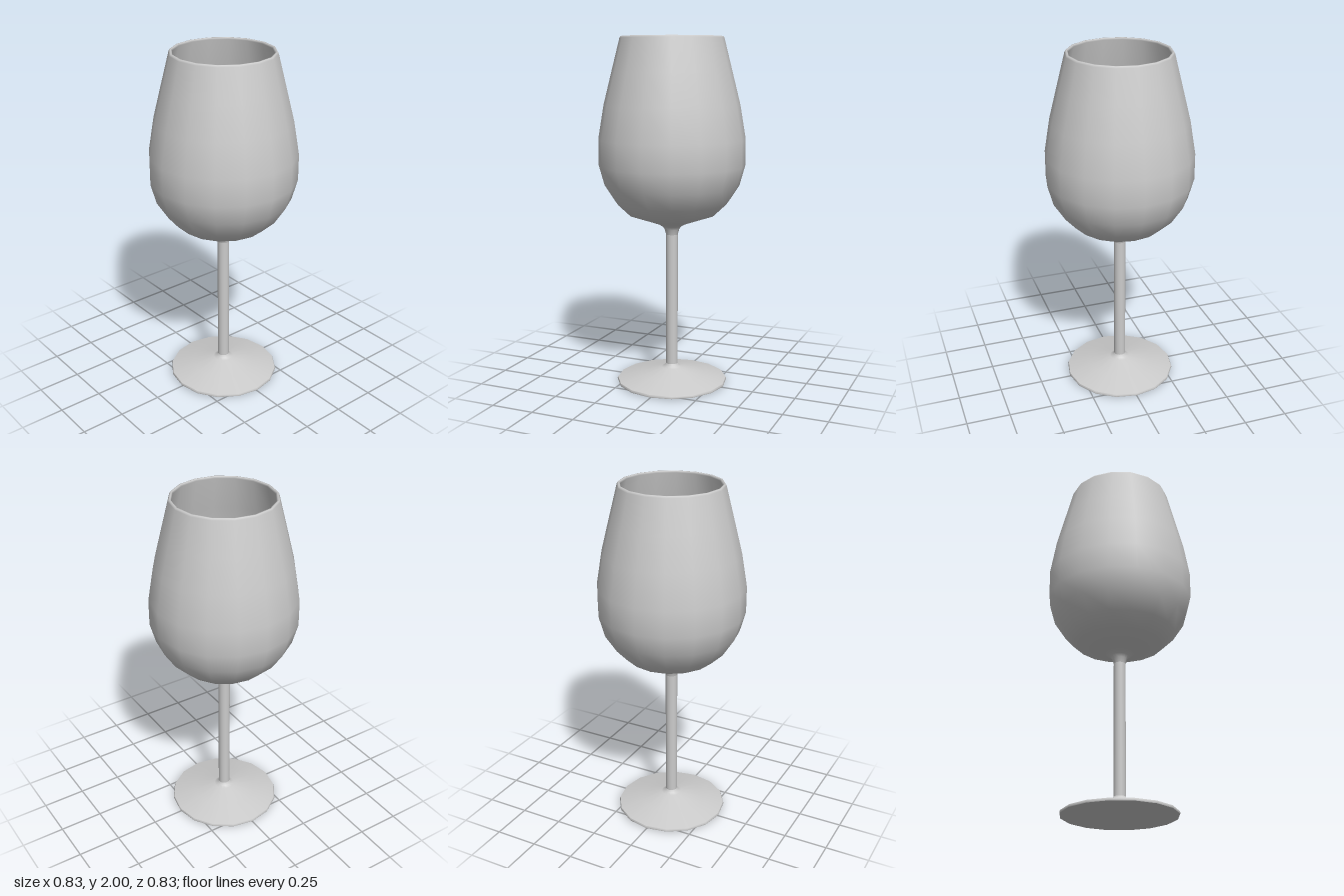
import * as THREE from 'three';

const SIDES = 16;
const material = new THREE.MeshStandardMaterial({ color: 0xcccccc });

// Revolves a profile of [radius, height] pairs around the vertical axis
function turned(name, profile) {
  const points = profile.map(([r, y]) => new THREE.Vector2(r, y));
  const mesh = new THREE.Mesh(new THREE.LatheGeometry(points, SIDES), material);
  mesh.name = name;
  return mesh;
}

export function createModel() {
  const glass = new THREE.Group();
  glass.name = 'wineGlass';

  // Foot: flat underside, thin edge and a shallow cone
  const foot = new THREE.Group();
  foot.name = 'foot';
  foot.add(
    turned('footUnderside', [[0, 0], [0.11, 0], [0.32, 0.005]]),
    turned('footEdge', [[0.32, 0.005], [0.322, 0.012], [0.318, 0.02]]),
    turned('footTop', [[0.318, 0.02], [0.19, 0.053], [0.06, 0.086], [0.042, 0.093], [0.034, 0.108]]),
  );
  glass.add(foot);

  // Slender stem
  glass.add(turned('stem', [[0.034, 0.108], [0.034, 0.88]]));

  // Bowl: outer wall, rounded rim, then inner wall down to the floor
  const outer = [
    [0.034, 0.88], [0.042, 0.91], [0.054, 0.927], [0.08, 0.942], [0.14, 0.963],
    [0.25, 1.0], [0.32, 1.065], [0.385, 1.165], [0.417, 1.28], [0.417, 1.43],
    [0.385, 1.62], [0.34, 1.8], [0.292, 1.99],
  ];
  const rim = [[0.287, 2.0], [0.279, 2.0], [0.273, 1.99]];
  const inner = [
    [0.322, 1.8], [0.367, 1.62], [0.399, 1.43], [0.399, 1.28], [0.368, 1.17],
    [0.307, 1.078], [0.24, 1.018], [0.13, 0.982], [0, 0.97],
  ];
  glass.add(turned('bowl', [...outer, ...rim, ...inner]));

  return glass;
}
